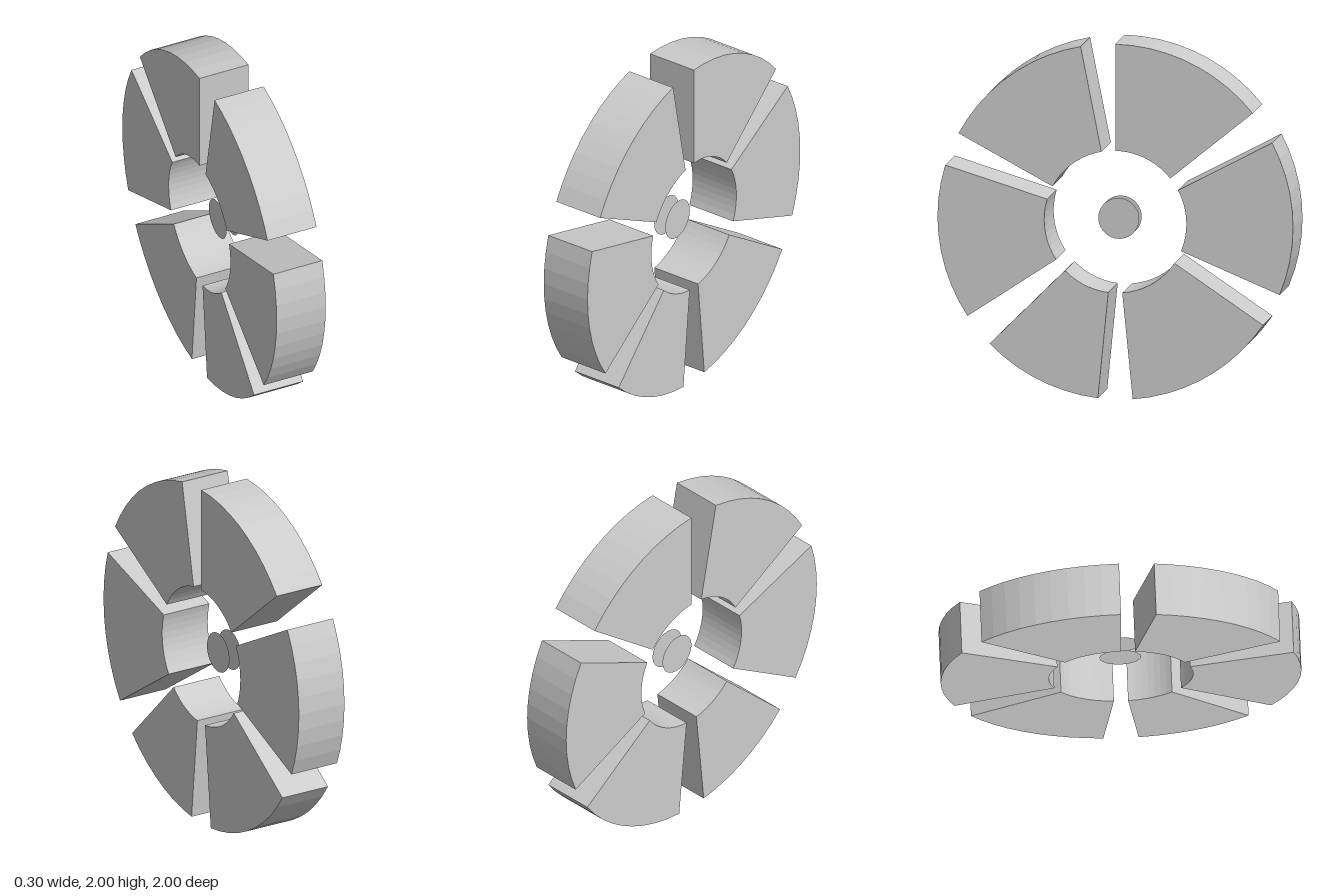
import * as THREE from 'three';

const STEP = Math.PI / 32; // the ring is divided into 64 facets
const OUTER = 1, INNER = 0.4, WIDTH = 0.3;
const HUB_RADIUS = 0.115, HUB_OFFSET = 0.038;

// Ring sector between two facet numbers, extruded along the axle (x)
function sectorGeometry(from, to) {
  const points = [];
  const add = (radius, i) =>
    points.push(new THREE.Vector2(radius * Math.cos(i * STEP), radius * Math.sin(i * STEP)));
  for (let i = from; i <= to; i++) add(OUTER, i);
  for (let i = to; i >= from; i--) add(INNER, i);
  return new THREE.ExtrudeGeometry(new THREE.Shape(points), { depth: WIDTH, bevelEnabled: false })
    .translate(0, 0, -WIDTH / 2)
    .rotateY(Math.PI / 2);
}

export function createModel() {
  const model = new THREE.Group();
  model.name = 'segmentedRing';
  const material = new THREE.MeshStandardMaterial({ color: 0xcccccc, flatShading: true });
  const thin = new THREE.MeshStandardMaterial({ color: 0xcccccc, side: THREE.DoubleSide });

  const wheel = new THREE.Group();
  wheel.name = 'wheel';
  wheel.position.y = Math.cos(1.0 * STEP); // lowest corners sit one facet from the bottom
  model.add(wheel);

  // Six separate ring segments; the lower front one is shorter
  const spans = [[7, 16], [18, 27], [29, 38], [40, 47], [49, 58], [60, 69]];
  spans.forEach(([from, to], i) => {
    const segment = new THREE.Mesh(sectorGeometry(from, to), material);
    segment.name = `ringSegment${i + 1}`;
    wheel.add(segment);
  });

  // Pair of thin hub discs
  for (const side of [-1, 1]) {
    const disc = new THREE.Mesh(new THREE.CircleGeometry(HUB_RADIUS, 64), thin);
    disc.name = side > 0 ? 'leftHubDisc' : 'rightHubDisc';
    disc.rotation.y = side * Math.PI / 2;
    disc.position.x = side * HUB_OFFSET;
    wheel.add(disc);
  }
  return model;
}
